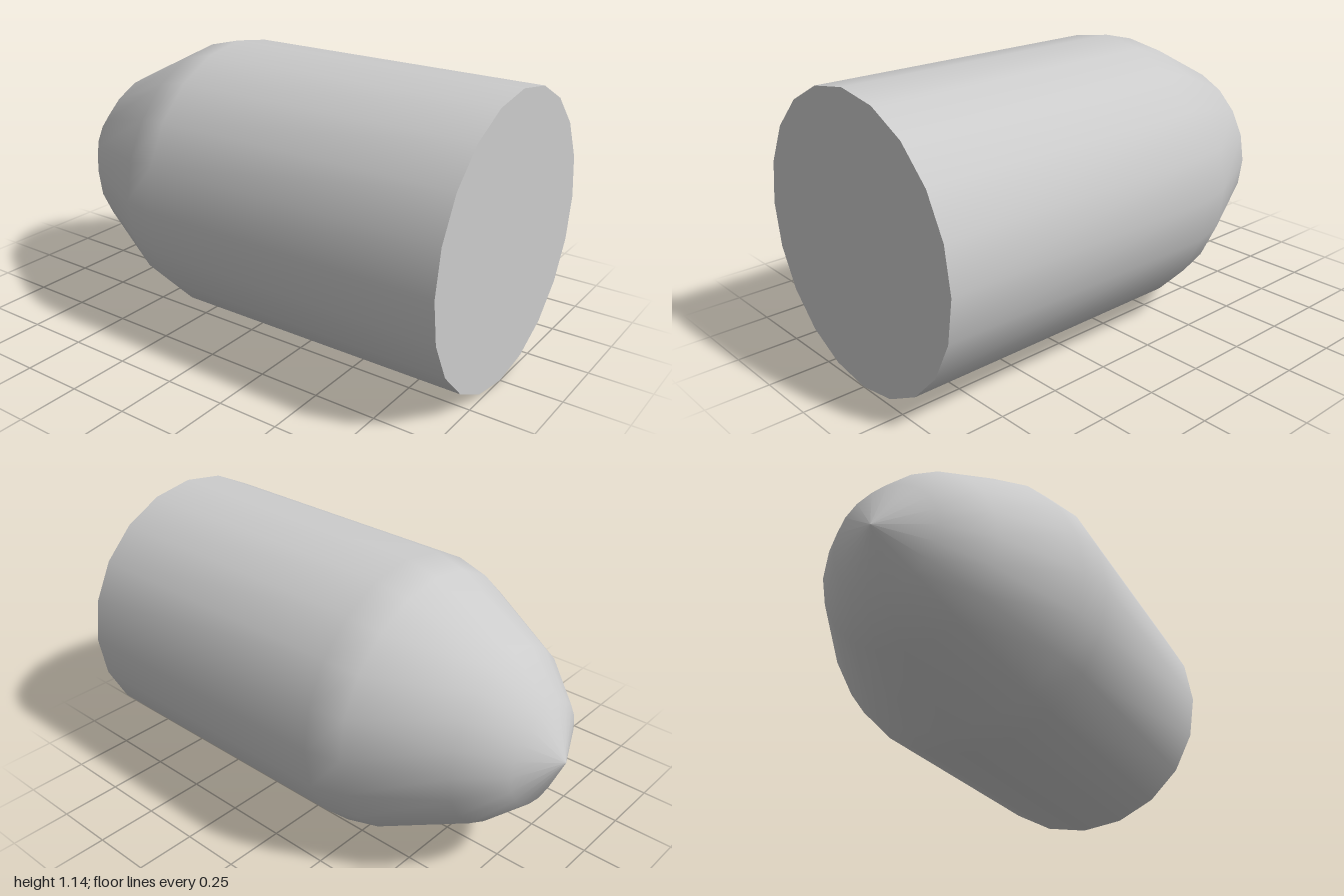
import * as THREE from 'three';

const RADIUS = 0.57;
const SIDES = 20;

export function createModel() {
  const group = new THREE.Group();
  group.name = 'bullet';
  const material = new THREE.MeshStandardMaterial({ color: 0xcccccc });

  // Smooth shell: straight body and tapered nose, turned so the tip points to -x
  const profile = [
    [RADIUS, -1], [RADIUS, 0.25], [0.535, 0.39], [0.355, 0.745], [0.207, 0.905], [0, 1],
  ].map(([r, along]) => new THREE.Vector2(r, along));
  const shell = new THREE.Mesh(new THREE.LatheGeometry(profile, SIDES).rotateZ(Math.PI / 2), material);
  shell.name = 'shell';
  shell.position.y = RADIUS;

  // Flat base disc facing +x
  const base = new THREE.Mesh(new THREE.CircleGeometry(RADIUS, SIDES).rotateY(Math.PI / 2), material);
  base.name = 'base';
  base.position.set(1, RADIUS, 0);

  group.add(shell, base);
  return group;
}
